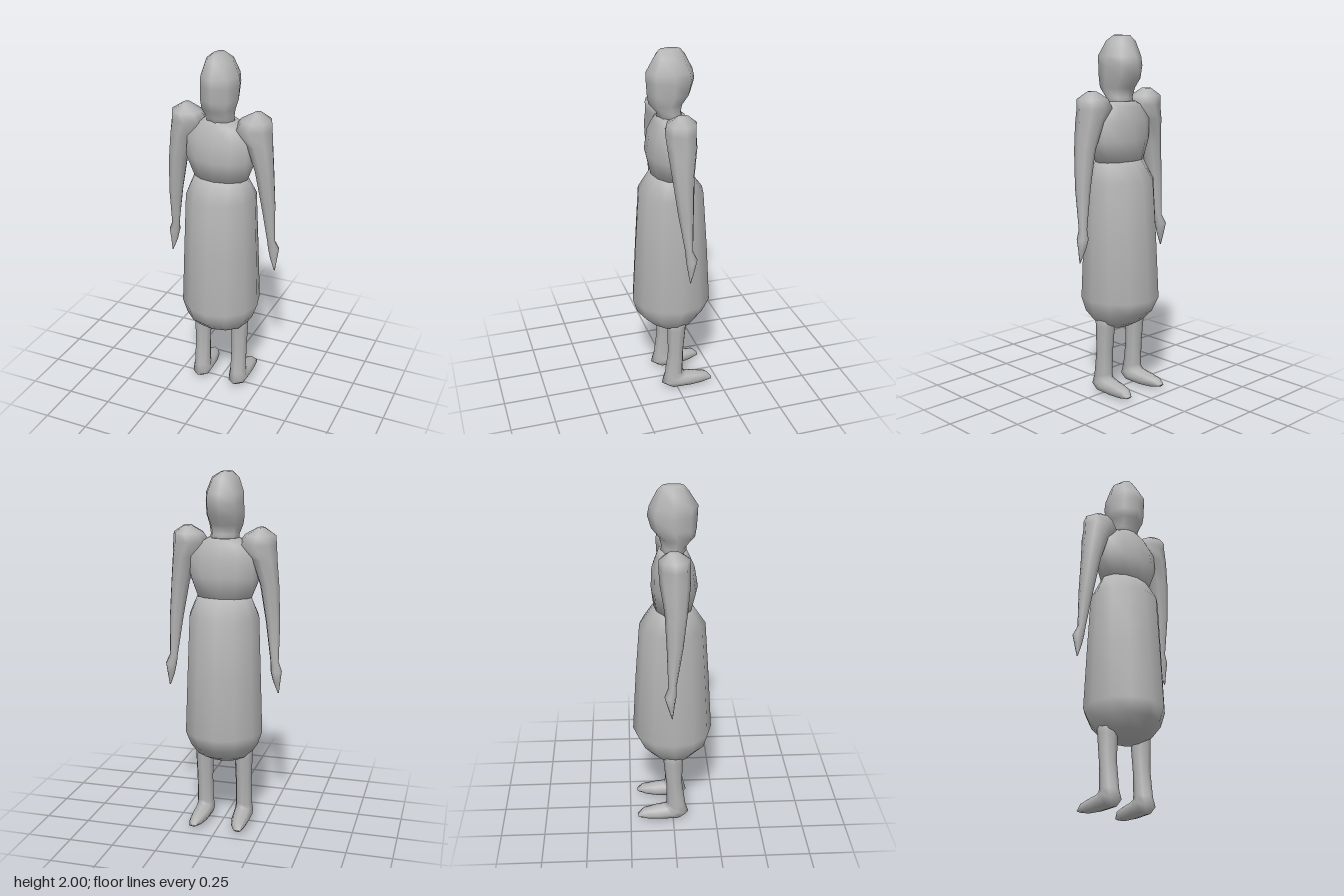
import * as THREE from 'three';

const grey = new THREE.MeshStandardMaterial({ color: 0xb4b4b4 });
grey.name = 'plain grey';

// Skin elliptical rings, listed from top to bottom. Each ring is
// [centre x, half width, y and z of its -z edge, y and z of its +z edge].
function loft(name, sides, rings) {
  const pos = [], index = [];
  for (const [x, rx, yA, zA, yB, zB] of rings) {
    for (let i = 0; i < sides; i++) {
      const a = (i / sides) * Math.PI * 2, s = (Math.sin(a) + 1) / 2;
      pos.push(x + rx * Math.cos(a), yA + (yB - yA) * s, zA + (zB - zA) * s);
    }
  }
  for (let r = 0; r < rings.length - 1; r++) {
    for (let i = 0; i < sides; i++) {
      const j = (i + 1) % sides, p = r * sides, q = p + sides;
      index.push(p + i, p + j, q + i, p + j, q + j, q + i);
    }
  }
  // Close both ends
  const last = (rings.length - 1) * sides;
  for (const [start, top] of [[0, true], [last, false]]) {
    const [x, , yA, zA, yB, zB] = rings[start / sides];
    const c = pos.length / 3;
    pos.push(x, (yA + yB) / 2, (zA + zB) / 2);
    for (let i = 0; i < sides; i++) {
      const m = start + i, n = start + (i + 1) % sides;
      index.push(c, top ? n : m, top ? m : n);
    }
  }
  const geo = new THREE.BufferGeometry();
  geo.setAttribute('position', new THREE.Float32BufferAttribute(pos, 3));
  geo.setIndex(index);
  geo.computeVertexNormals();
  const mesh = new THREE.Mesh(geo, grey);
  mesh.name = name;
  return mesh;
}

// Level ring
const level = (y, x, rx, zA, zB) => [x, rx, y, zA, y, zB];

export function createModel() {
  const group = new THREE.Group();
  group.name = 'robedFigure';

  // Head with hair, tapering into the neck
  group.add(loft('head', 8, [
    level(2.0, -0.015, 0.03, -0.055, 0.06),
    level(1.97, -0.008, 0.075, -0.08, 0.085),
    level(1.89, -0.003, 0.105, -0.12, 0.135),
    level(1.84, -0.003, 0.106, -0.13, 0.133),
    level(1.77, -0.005, 0.106, -0.11, 0.128),
    level(1.72, -0.005, 0.095, -0.07, 0.12),
    level(1.67, -0.003, 0.08, -0.055, 0.075),
    level(1.6, 0, 0.085, -0.08, 0.08),
  ]));

  // Chest
  group.add(loft('torso', 12, [
    level(1.65, 0, 0.085, -0.075, 0.075),
    level(1.62, 0, 0.15, -0.085, 0.09),
    level(1.55, 0, 0.2, -0.11, 0.12),
    level(1.44, 0, 0.2, -0.115, 0.138),
    level(1.32, 0, 0.152, -0.1, 0.11),
  ]));

  // Long skirt with rounded hem
  group.add(loft('skirt', 12, [
    level(1.33, 0, 0.152, -0.1, 0.11),
    level(1.22, 0, 0.198, -0.18, 0.183),
    level(0.9, 0, 0.21, -0.205, 0.205),
    level(0.56, 0, 0.222, -0.225, 0.225),
    level(0.48, 0, 0.195, -0.185, 0.2),
    level(0.42, 0, 0.155, -0.125, 0.135),
    level(0.385, 0, 0.09, -0.06, 0.06),
  ]));

  for (const s of [1, -1]) {
    const side = s > 0 ? 'left' : 'right';

    // Raised shoulder, sleeve and pointed hand
    group.add(loft(side + 'Arm', 8, [
      level(1.71, s * 0.205, 0.02, -0.03, 0.03),
      level(1.67, s * 0.2, 0.086, -0.078, 0.085),
      level(1.62, s * 0.185, 0.105, -0.08, 0.088),
      level(1.54, s * 0.222, 0.072, -0.075, 0.085),
      level(1.4, s * 0.252, 0.053, -0.052, 0.07),
      level(1.2, s * 0.275, 0.04, -0.042, 0.045),
      level(0.98, s * 0.29, 0.023, -0.035, 0.008),
      level(0.93, s * 0.302, 0.032, -0.056, 0.008),
      level(0.87, s * 0.305, 0.021, -0.04, -0.002),
      level(0.8, s * 0.314, 0.003, -0.017, -0.012),
    ]));

    // Leg bending into a foot
    const x = s * 0.115;
    group.add(loft(side + 'Leg', 8, [
      level(0.48, x, 0.055, -0.06, 0.06),
      level(0.4, x, 0.052, -0.055, 0.055),
      level(0.25, x, 0.047, -0.04, 0.052),
      [x, 0.048, 0.12, -0.038, 0.1, 0.072],
      [x, 0.053, 0.1, -0.042, 0.04, 0.09],
      [x, 0.055, 0.095, -0.055, 0.008, 0.045],
      [x + s * 0.003, 0.05, 0.085, -0.11, 0.005, -0.07],
      [x + s * 0.008, 0.038, 0.072, -0.18, 0.01, -0.14],
      [x + s * 0.015, 0.02, 0.04, -0.208, 0.025, -0.2],
    ]));
  }
  const box = new THREE.Box3().setFromObject(group);
  group.position.y = -box.min.y;
  return group;
}
